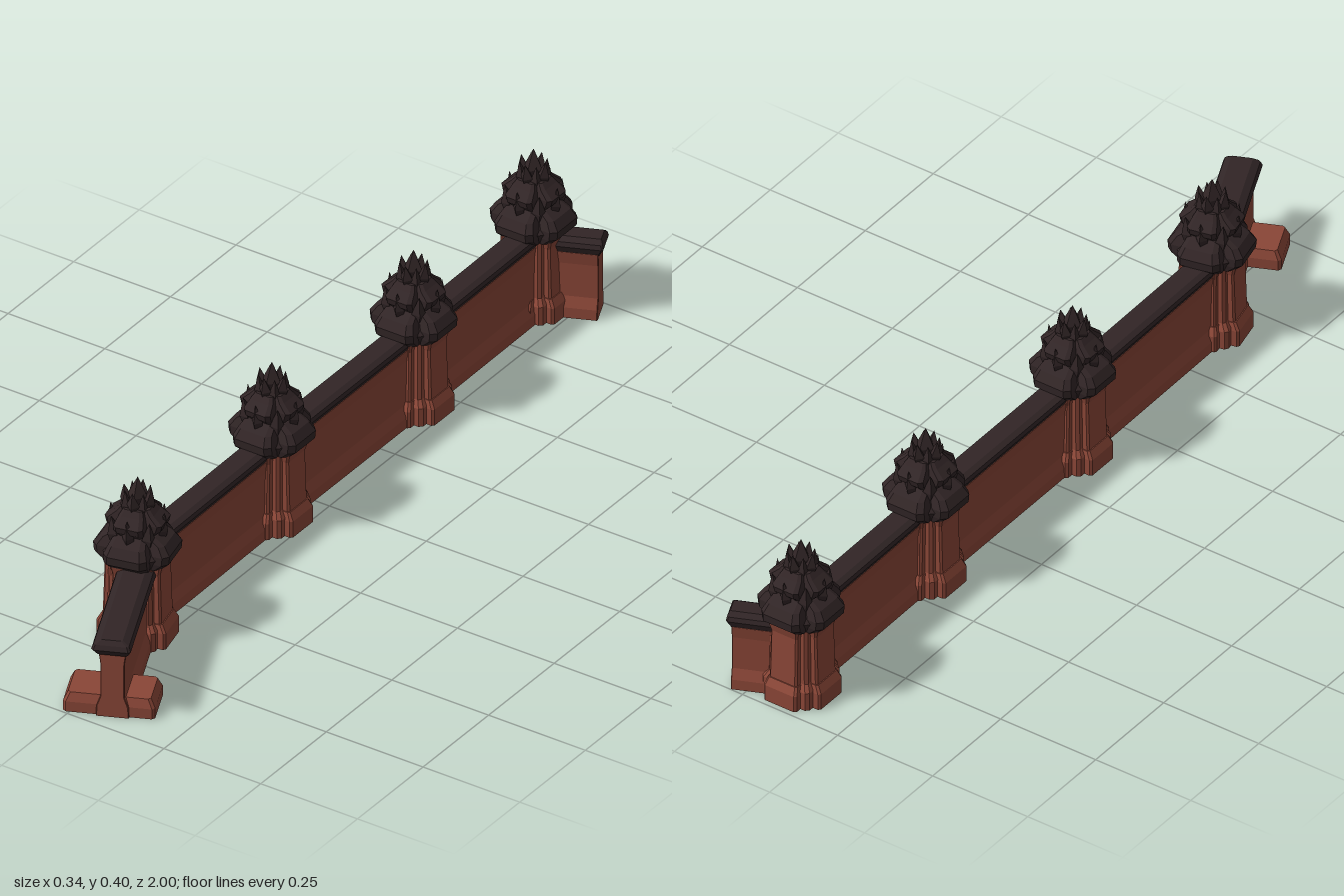
import * as THREE from 'three';

const brick = new THREE.MeshStandardMaterial({ color: 0x8a4637 });
brick.name = 'red brick';
const tile = new THREE.MeshStandardMaterial({ color: 0x312526 });
tile.name = 'dark tile';

// Solid stacked from chamfered rectangles; each level is [y, halfX, halfZ]
function loft(levels, chamfer = 0.12) {
  const rings = levels.map(([y, a, b]) => {
    const c = Math.min(a, b) * chamfer;
    return [[a, -b + c], [a, b - c], [a - c, b], [-a + c, b], [-a, b - c], [-a, -b + c], [-a + c, -b], [a - c, -b]]
      .map(([x, z]) => [x, y, z]);
  });
  const pos = [];
  const tri = (...pts) => pts.forEach((p) => pos.push(...p));
  for (let k = 0; k < rings.length - 1; k++) {
    const lo = rings[k], hi = rings[k + 1];
    for (let i = 0; i < 8; i++) {
      const j = (i + 1) % 8;
      tri(lo[i], hi[i], lo[j]);
      tri(lo[j], hi[i], hi[j]);
    }
  }
  const bottom = rings[0], top = rings[rings.length - 1];
  for (let i = 1; i < 7; i++) {
    tri(bottom[0], bottom[i], bottom[i + 1]);
    tri(top[0], top[i + 1], top[i]);
  }
  const g = new THREE.BufferGeometry();
  g.setAttribute('position', new THREE.Float32BufferAttribute(pos, 3));
  g.computeVertexNormals();
  return g;
}

function add(parent, name, geometry, material) {
  const m = new THREE.Mesh(geometry, material);
  m.name = name;
  parent.add(m);
  return m;
}

// Four-sided pointed leaf
function leafGeometry(r, h) {
  const pts = [[0, 0], [r * 0.7, 0], [r, h * 0.38], [r * 0.5, h * 0.7], [0, h]].map((p) => new THREE.Vector2(...p));
  const g = new THREE.LatheGeometry(pts, 4).toNonIndexed();
  g.computeVertexNormals();
  return g;
}

// Wall run between two ground points, with a tiled coping
function wall(name, x0, z0, x1, z1, top, copingTop, copingHalf, overhang) {
  const g = new THREE.Group();
  g.name = name;
  const dx = x1 - x0, dz = z1 - z0, L = Math.hypot(dx, dz) / 2;
  g.position.set((x0 + x1) / 2, 0, (z0 + z1) / 2);
  g.rotation.y = Math.atan2(dx, dz);
  add(g, 'wallBody', loft([[0, 0.036, L], [0.025, 0.035, L], [0.05, 0.026, L], [top - 0.03, 0.026, L], [top, 0.03, L]], 0.05), brick);
  const h = copingTop - top, w = copingHalf;
  add(g, 'coping', loft([
    [top - 0.003, w * 0.8, L + overhang * 0.2], [top + h * 0.45, w, L + overhang],
    [top + h * 0.75, w * 0.9, L + overhang * 0.8], [copingTop, w * 0.55, L + overhang * 0.4],
  ]), tile);
  return g;
}

// Cross-shaped brick pier with a tiered, spiky roof
function pier(x, z, turn) {
  const g = new THREE.Group();
  g.name = 'pier';
  g.position.set(x, 0, z);
  g.rotation.y = turn;

  // Two crossing arms for every storey: a is the reach, b the half width
  const cross = (name, levels, material, chamfer) => {
    add(g, name, loft(levels, chamfer), material);
    add(g, name, loft(levels.map(([y, a, b]) => [y, b, a]), chamfer), material);
  };
  cross('pierBase', [[0, 0.08, 0.043], [0.04, 0.08, 0.043], [0.058, 0.07, 0.038]], brick);
  cross('pierShaft', [[0.05, 0.068, 0.036], [0.18, 0.064, 0.035], [0.203, 0.07, 0.04]], brick);
  add(g, 'pierCore', loft([[0, 0.062, 0.062], [0.045, 0.062, 0.062], [0.06, 0.052, 0.052], [0.2, 0.05, 0.05]]), brick);
  cross('lowerRoof', [[0.197, 0.066, 0.046], [0.215, 0.086, 0.05], [0.235, 0.088, 0.05], [0.255, 0.074, 0.042], [0.27, 0.05, 0.036]], tile, 0.25);
  add(g, 'lowerRoofCore', loft([[0.197, 0.055, 0.055], [0.225, 0.065, 0.065], [0.265, 0.045, 0.045]], 0.3), tile);
  cross('upperRoof', [[0.262, 0.038, 0.028], [0.285, 0.062, 0.034], [0.3, 0.066, 0.034], [0.318, 0.045, 0.028], [0.33, 0.034, 0.022]], tile, 0.25);

  // Leaves around each storey, leaning outwards
  const crown = (name, n, start, radius, y, r, h, lean) => {
    const geo = leafGeometry(r, h);
    for (let i = 0; i < n; i++) {
      const holder = new THREE.Group();
      holder.name = name;
      holder.rotation.y = start + (i / n) * Math.PI * 2;
      const leaf = add(holder, name, geo, tile);
      leaf.position.set(radius, y, 0);
      leaf.rotation.z = -lean;
      g.add(holder);
    }
  };
  crown('lowerLeaf', 4, 0, 0.052, 0.25, 0.014, 0.07, 0.15);
  crown('cornerLeaf', 4, Math.PI / 4, 0.052, 0.245, 0.015, 0.07, 0.15);
  crown('upperLeaf', 4, 0, 0.022, 0.318, 0.015, 0.055, 0.18);
  crown('upperCornerLeaf', 4, Math.PI / 4, 0.024, 0.31, 0.012, 0.06, 0.1);
  add(g, 'finial', leafGeometry(0.023, 0.075), tile).position.y = 0.322;
  return g;
}

export function createModel() {
  const model = new THREE.Group();
  model.name = 'boundaryWall';

  const piers = [[-0.055, 0.65, 0.22], [-0.074, 0.11, 0], [-0.074, -0.43, 0], [-0.088, -0.908, 0]];
  piers.forEach((p) => model.add(pier(...p)));

  // Straight runs between neighbouring piers
  for (let i = 0; i < 3; i++) {
    const [x0, z0] = piers[i], [x1, z1] = piers[i + 1];
    model.add(wall('straightWall', x1 < -0.08 ? -0.078 : x1, z1, i ? x0 : -0.068, z0, 0.188, 0.215, 0.034, 0));
  }

  // Angled end runs
  model.add(wall('frontWall', -0.05, 0.65, 0.088, 0.958, 0.162, 0.2, 0.043, 0.022));
  model.add(wall('backWall', -0.088, -0.908, 0.046, -0.966, 0.162, 0.197, 0.035, 0.012));

  // Low footing across the front end
  const foot = add(model, 'endFooting', loft([[0, 0.1, 0.053], [0.025, 0.1, 0.053], [0.046, 0.09, 0.046]]), brick);
  foot.position.set(0.056, 0, 0.908);
  foot.rotation.y = 0.42;
  return model;
}
